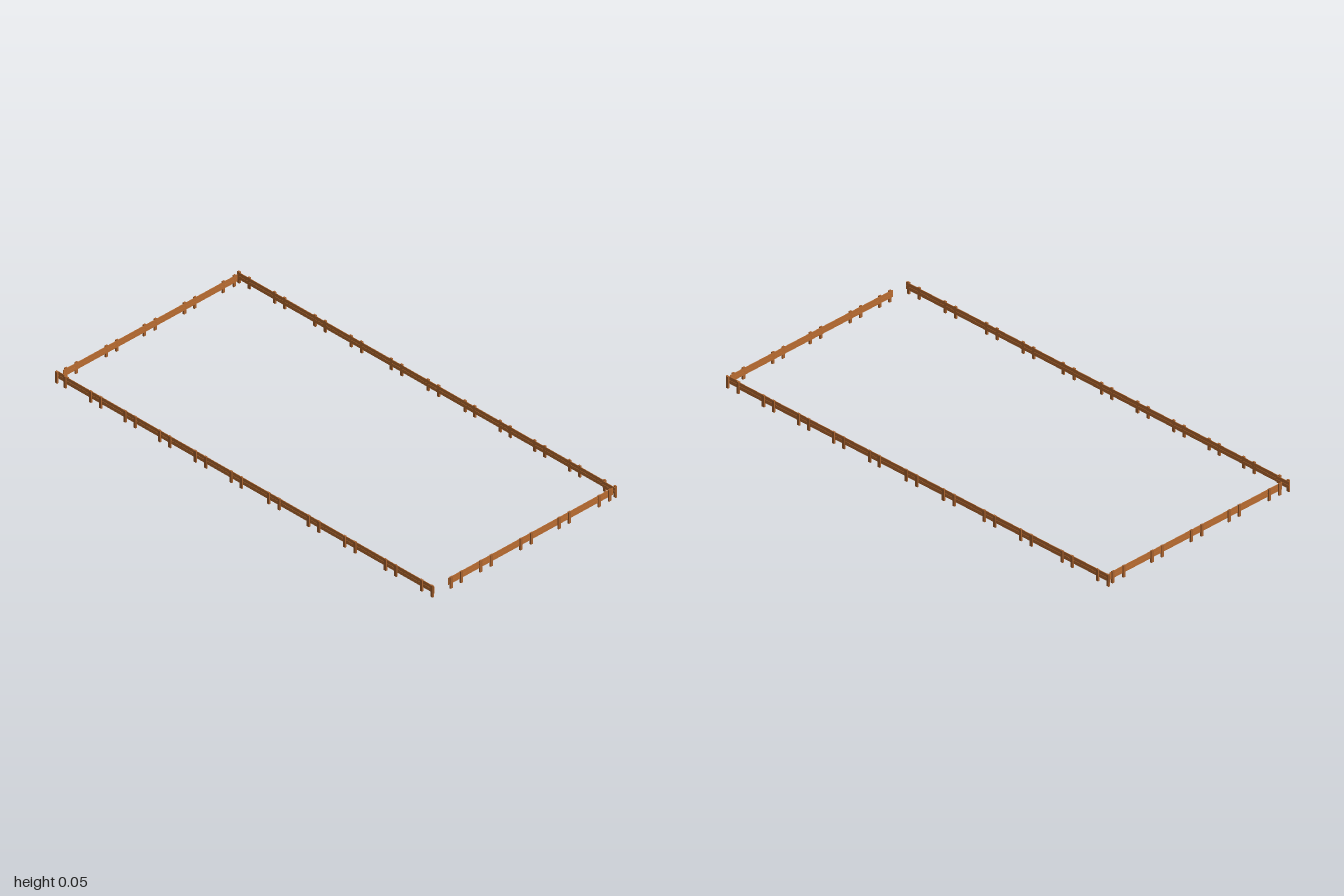
import * as THREE from 'three';

const POST = { width: 0.0115, depth: 0.007, height: 0.0505 };
const RAIL = { height: 0.0145, depth: 0.0025, levels: [0.0252, 0.0408] };

const railWood = new THREE.MeshStandardMaterial({ color: 0xb96c31 });
const postWood = new THREE.MeshStandardMaterial({ color: 0xa8622e });

function box(name, material, w, h, d, x, y, z) {
  const mesh = new THREE.Mesh(new THREE.BoxGeometry(w, h, d), material);
  mesh.name = name;
  mesh.position.set(x, y, z);
  return mesh;
}

// A run of fence along local x; rails are [from, to, offset behind the post line]
function fence(name, posts, rails) {
  const run = new THREE.Group();
  run.name = name;
  for (const x of posts) {
    run.add(box('post', postWood, POST.width, POST.height, POST.depth, x, POST.height / 2, 0));
  }
  for (const [from, to, offset] of rails) {
    for (const y of RAIL.levels) {
      run.add(box('rail', railWood, to - from, RAIL.height, RAIL.depth, (from + to) / 2, y, offset));
    }
  }
  return run;
}

export function createModel() {
  const model = new THREE.Group();
  model.name = 'paddockFence';

  // Short ends
  const front = fence('frontFence',
    [-0.381, -0.328, -0.228, -0.174, -0.02, 0.034, 0.177, 0.23, 0.384, 0.438],
    [[-0.393, 0.457, -0.0025]]);
  front.position.z = 0.993;

  const back = fence('backFence',
    [-0.43, -0.376, -0.22, -0.166, -0.024, 0.032, 0.184, 0.237, 0.384, 0.441].map((x) => -x),
    [[-0.455, 0.445, -0.0025]]);
  back.rotation.y = Math.PI;
  back.position.z = -0.985;

  // Long sides, each with its last rails set further inward at one corner
  const left = fence('leftFence',
    [-0.99, -0.935, -0.802, -0.75, -0.59, -0.535, -0.4, -0.345, -0.188, -0.133, 0.005,
      0.06, 0.2, 0.25, 0.385, 0.438, 0.567, 0.62, 0.75, 0.803, 0.935, 0.99].map((z) => -z),
    [[-0.94, 0.997, -0.0025], [-1, -0.93, -0.007]]);
  left.rotation.y = Math.PI / 2;
  left.position.x = 0.4705;

  const right = fence('rightFence',
    [-0.99, -0.945, -0.812, -0.758, -0.63, -0.577, -0.448, -0.394, -0.26, -0.205, -0.072,
      -0.018, 0.125, 0.18, 0.335, 0.39, 0.525, 0.58, 0.74, 0.795, 0.93, 0.985],
    [[-0.945, 0.995, -0.0025], [-1, -0.935, -0.007]]);
  right.rotation.y = -Math.PI / 2;
  right.position.x = -0.4715;

  model.add(front, back, left, right);
  return model;
}
